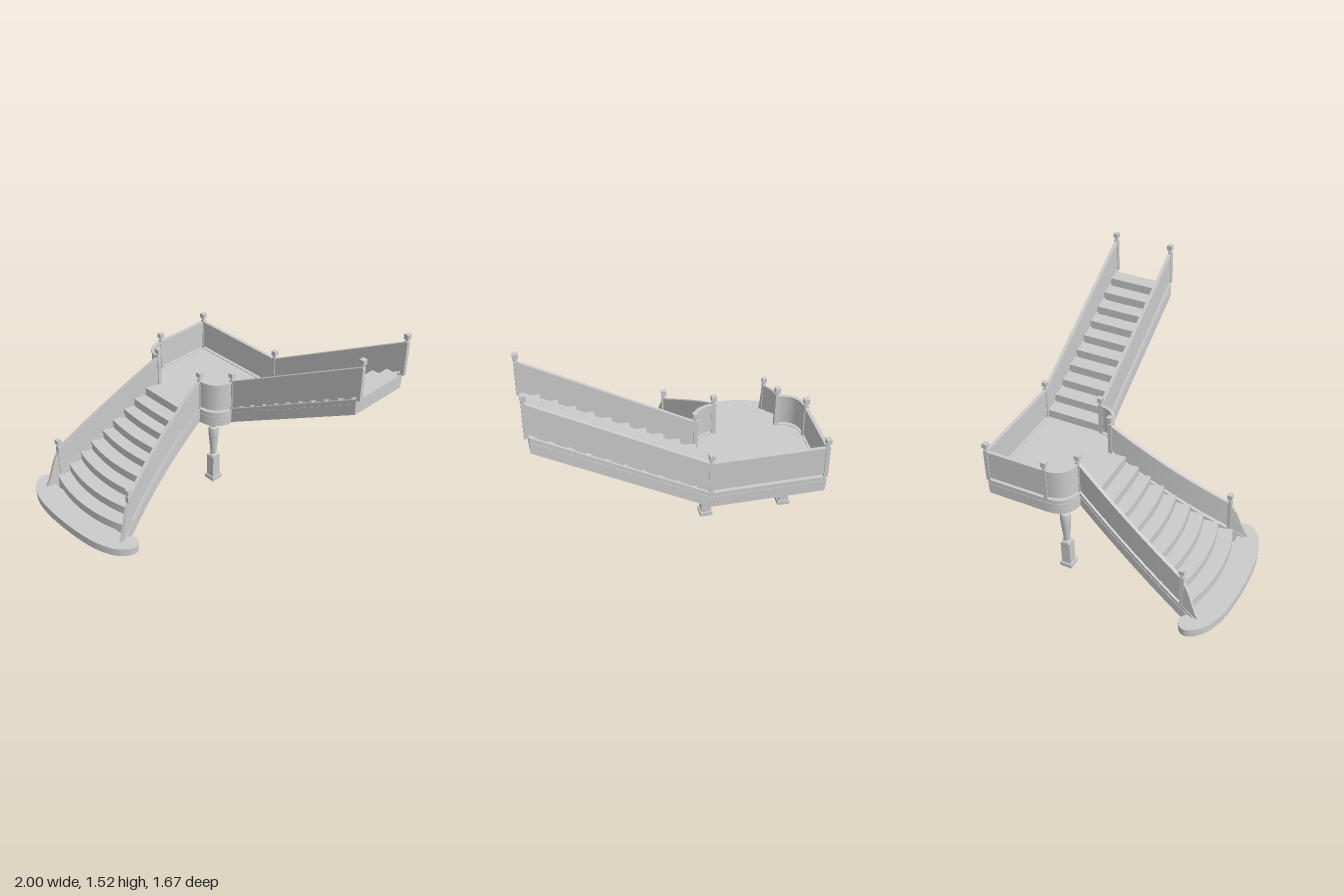
import * as THREE from 'three';
import { toCreasedNormals } from 'three/addons/utils/BufferGeometryUtils.js';

const material = new THREE.MeshStandardMaterial({ color: 0xcccccc });
const CX = -0.475;             // centre line of the lower flight
const LAND = 0.62;             // landing floor height
const SLOPE_UP = 0.567, SLOPE_DOWN = 0.63;
const BACK = -0.82, FRONT = -0.395, WEST = -0.835, EAST = -0.1;

function add(parent, name, geometry) {
  const mesh = new THREE.Mesh(geometry, material);
  mesh.name = name;
  parent.add(mesh);
  return mesh;
}

// Upright wall through stations [x, z, yBottom, yTop]
function wallGeometry(stations, thickness) {
  const last = stations.length - 1;
  const rings = stations.map(([x, z, y0, y1], i) => {
    const a = stations[Math.max(i - 1, 0)], b = stations[Math.min(i + 1, last)];
    const dx = b[0] - a[0], dz = b[1] - a[1];
    const s = thickness / 2 / Math.hypot(dx, dz);
    const nx = -dz * s, nz = dx * s;
    return [[x + nx, y0, z + nz], [x + nx, y1, z + nz], [x - nx, y1, z - nz], [x - nx, y0, z - nz]];
  });
  const pos = [];
  const quad = (a, b, c, d) => pos.push(...a, ...b, ...c, ...a, ...c, ...d);
  for (let i = 0; i < last; i++) {
    for (let k = 0; k < 4; k++) {
      const n = (k + 1) % 4;
      quad(rings[i][k], rings[i + 1][k], rings[i + 1][n], rings[i][n]);
    }
  }
  quad(...rings[0]);
  quad(...rings[last].slice().reverse());
  const g = new THREE.BufferGeometry();
  g.setAttribute('position', new THREE.Float32BufferAttribute(pos, 3));
  return toCreasedNormals(g, 0.5);
}

// Edge bands: name, bottom, top, thickness (heights as on the landing)
const STRING_BANDS = [
  ['stringer', 0.51, 0.625, 0.02],
  ['stringerMoulding', 0.54, 0.59, 0.026],
  ['stringerCap', 0.61, 0.625, 0.03],
];
const PANEL_BANDS = [
  ['railingPanel', 0.64, 0.845, 0.014],
  ['handrail', 0.835, 0.85, 0.024],
];

// Path points are [x, z, height offset from the landing]
function edge(parent, bands, path) {
  for (const [name, y0, y1, t] of bands) {
    const stations = path.map(([x, z, h]) => [x, z, Math.max(0, y0 + h), Math.max(0.004, y1 + h)]);
    add(parent, name, wallGeometry(stations, t));
  }
}

function newel(parent, x, y, z) {
  const g = new THREE.Group();
  g.name = 'newelPost';
  add(g, 'post', new THREE.BoxGeometry(0.027, 0.24, 0.027)).position.y = 0.12;
  const neck = new THREE.LatheGeometry([[0.013, 0.24], [0.009, 0.248], [0.014, 0.254], [0.007, 0.262]]
    .map(p => new THREE.Vector2(...p)), 12);
  add(g, 'neck', neck);
  add(g, 'cap', new THREE.BoxGeometry(0.034, 0.034, 0.034)).position.y = 0.277;
  g.position.set(x, y, z);
  parent.add(g);
}

function shapeOf(points) {
  return new THREE.Shape(points.map(p => new THREE.Vector2(p[0], p[1])));
}

// Flat slab from a plan outline given as [x, z]
function slab(outline, bottom, top) {
  const g = new THREE.ExtrudeGeometry(shapeOf(outline), { depth: top - bottom, bevelEnabled: false });
  g.rotateX(Math.PI / 2).translate(0, top, 0);
  return toCreasedNormals(g, 0.5);
}

// Plan curve of the lower flight: left flank bows, right flank flares
function flank(side, z) {
  const t = (z + 0.23) / 0.91;
  return side > 0 ? CX + 0.215 + 0.05 * t + 0.155 * t * t
                  : CX - 0.215 - 0.26 * t + 0.07 * t * t;
}

const dropAt = z => -SLOPE_DOWN * (z + 0.23);

function flankPath(side, z0, z1, n) {
  return Array.from({ length: n + 1 }, (_, i) => {
    const z = z0 + (z1 - z0) * i / n;
    return [flank(side, z), z, dropAt(z)];
  });
}

function lowerFlight() {
  const g = new THREE.Group();
  g.name = 'lowerFlight';

  // Curved steps with a closed soffit
  const nosings = [0.66, 0.555, 0.45, 0.355, 0.25, 0.16, 0.06, -0.03, -0.13];
  const profile = [];
  for (let i = 0; i <= 10; i++) {
    const z = -0.23 + 0.081 * i;
    profile.push([z, 0.51 * (1 - i / 10)]);
  }
  profile.push([0.66, 0]);
  nosings.forEach((z, i) => {
    const y = 0.062 * (i + 2);
    profile.push([z, y], [nosings[i + 1] ?? -0.23, y]);
  });
  const body = new THREE.ExtrudeGeometry(shapeOf(profile), { depth: 1, steps: 16, bevelEnabled: false });
  const p = body.attributes.position;
  for (let i = 0; i < p.count; i++) {
    const a = p.getX(i), y = p.getY(i), w = p.getZ(i);
    const isSoffit = y < 0.51 + dropAt(a) + 0.03;
    const sag = isSoffit ? 0 : 0.075 * Math.max(0, (a + 0.13) / 0.79);
    const z = a - sag * (2 * w - 1) ** 2;
    p.setXYZ(i, THREE.MathUtils.lerp(flank(1, z), flank(-1, z), w), y, z);
  }
  add(g, 'steps', toCreasedNormals(body, 0.4));

  // Stringers, railings and the swept ends beyond the lower newels
  for (const side of [1, -1]) {
    edge(g, STRING_BANDS, flankPath(side, -0.23, 0.68, 16));
    edge(g, PANEL_BANDS, flankPath(side, -0.23, 0.56, 14));
    const ends = [[0.56, 0.345], [0.585, 0.3], [0.61, 0.25], [0.64, 0.155], [0.66, 0.1], [0.685, 0.055]];
    add(g, 'railingEnd', wallGeometry(ends.map(([z, y]) =>
      [flank(side, z), z, Math.min(y - 0.005, Math.max(0.04, 0.62 + dropAt(z))), y]), 0.02));
    newel(g, flank(side, 0.56), 0.13, 0.56);
  }

  // Wide bottom step with rounded ends
  const half = new THREE.SplineCurve([[0, 0.83], [0.15, 0.825], [0.3, 0.805], [0.42, 0.763], [0.49, 0.71],
    [0.525, 0.645], [0.51, 0.595], [0.465, 0.572], [0.42, 0.588], [0.4, 0.62]]
    .map(q => new THREE.Vector2(...q))).getPoints(36);
  const outline = k => [
    ...half.map(q => [CX + k * q.x, 0.68 + k * (q.y - 0.68)]),
    ...half.slice(1).reverse().map(q => [CX - k * q.x, 0.68 + k * (q.y - 0.68)]),
  ];
  add(g, 'bottomStepBase', slab(outline(0.988), 0, 0.05));
  add(g, 'bottomStepTread', slab(outline(1), 0.05, 0.062));
  return g;
}

function landing() {
  const g = new THREE.Group();
  g.name = 'landing';
  const corner = (x0, x1) => new THREE.QuadraticBezierCurve(
    new THREE.Vector2(x0, FRONT), new THREE.Vector2(x0, -0.25), new THREE.Vector2(x1, -0.24))
    .getPoints(10).map(q => [q.x, q.y, 0]);
  const east = corner(EAST, -0.26), west = corner(WEST, -0.69);

  add(g, 'floor', slab([[WEST, BACK], [EAST, BACK], ...east, [-0.26, -0.23], [-0.69, -0.23],
    ...west.slice().reverse()], 0.51, LAND));

  const sides = [[[WEST, BACK, 0], [EAST, BACK, 0]], [[WEST, BACK, 0], [WEST, FRONT, 0]], east, west];
  for (const path of sides) edge(g, [...STRING_BANDS, ...PANEL_BANDS], path);

  for (const [x, z] of [[WEST, BACK], [EAST, BACK], [WEST, FRONT], [EAST, FRONT], [-0.69, -0.24], [-0.26, -0.24]])
    newel(g, x, LAND, z);
  return g;
}

function upperFlight() {
  const g = new THREE.Group();
  g.name = 'upperFlight';
  const end = 0.97, run = (end - EAST) / 10, rise = 0.0595;

  // Straight steps with a sloping soffit
  const profile = [[EAST, 0.51], [end, 0.51 + SLOPE_UP * (end - EAST)]];
  for (let k = 9; k >= 0; k--) {
    const y = LAND + rise * (k + 1);
    profile.push([EAST + run * (k + 1), y], [EAST + run * k, y]);
  }
  const body = new THREE.ExtrudeGeometry(shapeOf(profile), { depth: FRONT - BACK, bevelEnabled: false });
  add(g, 'steps', body.translate(0, 0, BACK));

  for (const z of [BACK, FRONT]) {
    const at = x => [x, z, SLOPE_UP * (x - EAST)];
    edge(g, STRING_BANDS, [at(EAST), at(end)]);
    edge(g, PANEL_BANDS, [at(EAST), at(0.985)]);
    newel(g, 0.984, 1.225, z);
  }
  return g;
}

// Turned column on a square pedestal
function column(x) {
  const g = new THREE.Group();
  g.name = 'supportColumn';
  add(g, 'plinth', new THREE.BoxGeometry(0.085, 0.03, 0.085)).position.y = 0.015;
  add(g, 'pedestal', new THREE.BoxGeometry(0.065, 0.175, 0.065)).position.y = 0.1175;
  const profile = [[0, 0.2], [0.03, 0.205], [0.032, 0.213], [0.022, 0.222], [0.022, 0.235], [0.028, 0.3],
    [0.035, 0.38], [0.037, 0.43], [0.034, 0.452], [0.02, 0.462], [0.024, 0.47], [0.017, 0.478],
    [0.019, 0.49], [0.031, 0.5], [0.031, 0.515], [0, 0.515]];
  add(g, 'shaft', toCreasedNormals(
    new THREE.LatheGeometry(profile.map(q => new THREE.Vector2(...q)), 20), 0.6));
  g.position.set(x, 0, -0.32);
  return g;
}

export function createModel() {
  const model = new THREE.Group();
  model.name = 'staircase';
  model.add(lowerFlight(), landing(), upperFlight(), column(CX + 0.275), column(CX - 0.275));
  return model;
}
